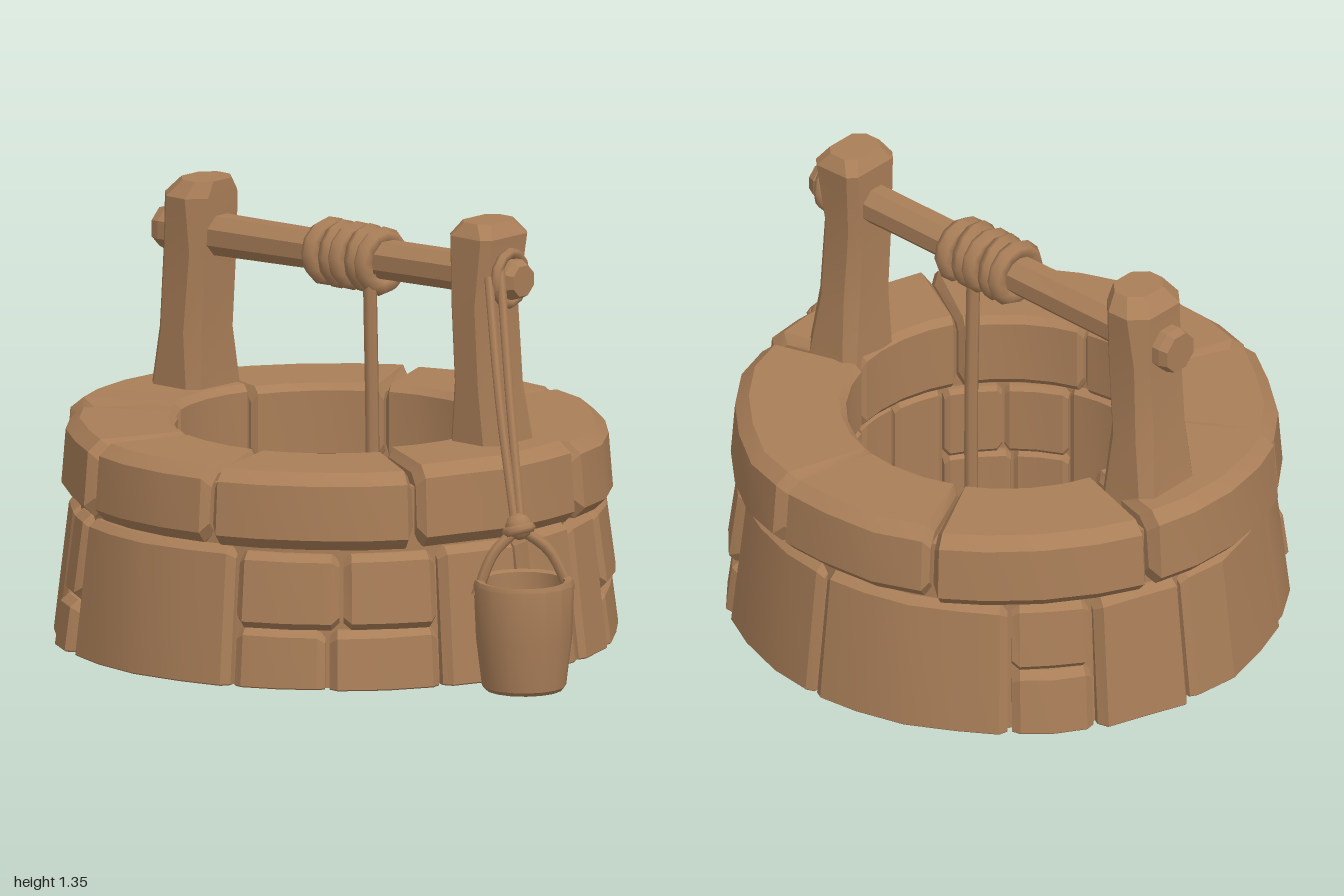
import * as THREE from 'three';
import { toCreasedNormals } from 'three/addons/utils/BufferGeometryUtils.js';

const V = (x, y, z) => new THREE.Vector3(x, y, z);
const CX = -0.135; // centre of the well ring

let seed = 7;
const jitter = (a) => {
  seed = (seed * 16807) % 2147483647;
  return (seed / 2147483647 * 2 - 1) * a;
};

// Skin a list of equal-length closed rings and cap both ends
function loft(rings, crease = 0.35) {
  const n = rings[0].length, pos = [], idx = [];
  rings.forEach((r) => r.forEach((p) => pos.push(p.x, p.y, p.z)));
  for (let k = 0; k < rings.length - 1; k++) {
    for (let i = 0; i < n; i++) {
      const a = k * n + i, b = k * n + (i + 1) % n;
      idx.push(a, b, b + n, a, b + n, a + n);
    }
  }
  const e = (rings.length - 1) * n;
  for (let i = 1; i < n - 1; i++) idx.push(0, i + 1, i, e, e + i, e + i + 1);
  const g = new THREE.BufferGeometry();
  g.setAttribute('position', new THREE.Float32BufferAttribute(pos, 3));
  g.setIndex(idx);
  return toCreasedNormals(g, crease);
}

// Chamfered stone following the ring from angle a0 to a1 (degrees)
function stone(a0, a1, y0, y1, rIn, rBottom, rTop, bevel) {
  const gap = 0.45, edge = 1.7, tilt = jitter(0.008), grow = jitter(0.01);
  const angles = [a0 + gap, a0 + gap + edge];
  const inner = Math.max(1, Math.round((a1 - a0) / 12));
  for (let i = 1; i < inner; i++) angles.push(a0 + (a1 - a0) * i / inner);
  angles.push(a1 - gap - edge, a1 - gap);
  const rings = angles.map((deg, k) => {
    const end = k === 0 || k === angles.length - 1;
    const s = end ? bevel * 0.8 : 0;
    const lo = y0 === 0 ? 0 : y0 + s;
    const hi = y1 - s + tilt * (k / angles.length - 0.5);
    const b = bevel, c = y0 === 0 ? 0.004 : b;
    const wob = end ? 0 : grow + jitter(0.008);
    const ri = rIn + s * 0.6, ob = rBottom - s + wob, ot = rTop - s + wob;
    const t = deg * Math.PI / 180;
    return [
      [ri + b * 0.5, lo], [ob - c, lo], [ob, lo + c], [ot, hi - b],
      [ot - b * 1.2, hi], [ri + b * 0.6, hi], [ri, hi - b * 0.6], [ri, lo + c * 0.6],
    ].map(([r, y]) => V(CX + Math.cos(t) * r, y, Math.sin(t) * r));
  });
  return loft(rings);
}

// Chamfered timber: sections are [y, xMin, xMax, zMin, zMax, chamfer]
function timber(sections) {
  return loft(sections.map(([y, x0, x1, z0, z1, c]) => [
    [x0 + c, z1], [x1 - c, z1], [x1, z1 - c], [x1, z0 + c],
    [x1 - c, z0], [x0 + c, z0], [x0, z0 + c], [x0, z1 - c],
  ].map(([x, z]) => V(x, y, z))), 0.2);
}

const rope = (points, r, segs = 8) =>
  new THREE.TubeGeometry(new THREE.CatmullRomCurve3(points), segs, r, 6, false);

export function createModel() {
  const model = new THREE.Group();
  const brown = new THREE.MeshStandardMaterial({ color: 0xa97e58 });
  brown.name = 'weathered brown';
  const add = (name, geo, parent = model) => {
    const m = new THREE.Mesh(geo, brown);
    m.name = name;
    parent.add(m);
    return m;
  };

  // Mortar core behind the stones, with the flat underside
  const core = [[0.53, 0], [0.82, 0], [0.785, 0.4], [0.785, 0.61], [0.53, 0.61], [0.53, 0]]
    .map(([r, y]) => new THREE.Vector2(r, y));
  add('mortarCore', toCreasedNormals(new THREE.LatheGeometry(core, 36), 0.4)).position.x = CX;

  // Wall stones: [start angle, end angle, bottom, top]
  const wall = new THREE.Group();
  wall.name = 'wallStones';
  model.add(wall);
  [
    [70, 116, 0, 0.42], [47, 70, 0.18, 0.41], [50, 70, 0, 0.18], [26, 50, 0, 0.18],
    [26, 47, 0.18, 0.41], [6, 26, 0, 0.42], [-12, 6, 0, 0.2], [-12, 6, 0.2, 0.43],
    [-27, -12, 0, 0.42], [-52, -27, 0, 0.17], [-52, -27, 0.17, 0.42], [-88, -52, 0, 0.42],
    [-132, -88, 0, 0.42], [-150, -132, 0, 0.2], [-150, -132, 0.2, 0.42], [-172, -150, 0, 0.42],
    [152, 188, 0, 0.42], [127, 152, 0, 0.42], [116, 127, 0, 0.16], [116, 127, 0.16, 0.42],
  ].forEach(([a0, a1, y0, y1]) => {
    const r = (y) => 0.862 - 0.11 * y;
    add('wallStone', stone(a0, a1, y0, y1, 0.5, r(y0), r(y1), 0.022), wall);
  });

  // Rim stones between the seams
  const rim = new THREE.Group();
  rim.name = 'rimStones';
  model.add(rim);
  const seams = [-115, -75.5, -14, 31, 76, 112, 152, 197, 245];
  for (let i = 0; i < seams.length - 1; i++) {
    const top = i === 2 || i === 6 ? 0.675 : 0.66;
    add('rimStone', stone(seams[i], seams[i + 1], 0.425, top, 0.49, 0.838, 0.825, 0.035), rim);
  }

  // Posts
  add('leftPost', timber([
    [0.6, 0.355, 0.555, -0.17, 0.06, 0.03], [0.85, 0.37, 0.53, -0.14, 0.06, 0.035],
    [1.1, 0.365, 0.515, -0.13, 0.065, 0.03], [1.31, 0.36, 0.53, -0.15, 0.06, 0.025],
    [1.352, 0.385, 0.5, -0.125, 0.035, 0.03],
  ]));
  add('rightPost', timber([
    [0.6, -0.87, -0.66, -0.19, 0.06, 0.03], [0.85, -0.835, -0.665, -0.16, 0.06, 0.04],
    [1.1, -0.815, -0.645, -0.15, 0.06, 0.035], [1.27, -0.81, -0.635, -0.16, 0.075, 0.05],
    [1.32, -0.765, -0.635, -0.12, 0.04, 0.04],
  ]));

  // Windlass beam: [x, height, radius]
  add('windlassBeam', loft([
    [-0.87, 1.145, 0.064], [-0.84, 1.145, 0.072], [-0.62, 1.15, 0.066], [-0.2, 1.162, 0.062],
    [0.3, 1.178, 0.062], [0.565, 1.183, 0.064], [0.592, 1.183, 0.05],
  ].map(([x, y, r]) => Array.from({ length: 8 }, (_, i) => {
    const t = (i + 0.5) * Math.PI / 4;
    return V(x, y + Math.cos(t) * r, -0.04 + Math.sin(t) * r);
  })), 0.2));

  // Rope wound on the beam
  const coil = new THREE.Group();
  coil.name = 'ropeCoil';
  model.add(coil);
  for (let i = 0; i < 5; i++) {
    const turn = add('ropeTurn', new THREE.TorusGeometry(0.077, 0.03, 6, 12), coil);
    turn.position.set(-0.2 + i * 0.053, 1.162 + jitter(0.004), -0.04);
    turn.rotation.set(0, Math.PI / 2 + (i % 2 ? 0.12 : -0.1), i * 0.5);
  }
  add('hangingRope', rope([V(0.01, 1.13, 0.01), V(0.012, 0.6, 0), V(0.01, 0.03, 0)], 0.022));

  // Rope loop on the beam end and the twin strands down to the bucket
  const loop = add('endLoop', new THREE.TorusGeometry(0.078, 0.017, 6, 12));
  loop.position.set(0.54, 1.185, -0.035);
  loop.rotation.y = Math.PI / 2 + 0.15;
  add('bucketRopeFront', rope([V(0.53, 1.2, 0.05), V(0.67, 0.84, 0.155), V(0.795, 0.5, 0.225)], 0.014));
  add('bucketRopeBack', rope([V(0.545, 1.24, 0.015), V(0.69, 0.84, 0.13), V(0.81, 0.5, 0.215)], 0.014));
  const knot = add('knot', new THREE.IcosahedronGeometry(0.042, 1));
  knot.position.set(0.805, 0.495, 0.22);
  const knotWrap = add('knotWrap', new THREE.TorusGeometry(0.036, 0.017, 6, 10));
  knotWrap.position.set(0.805, 0.485, 0.22);
  knotWrap.rotation.set(Math.PI / 2, 0.3, 0);
  [[0.735, 0.335], [0.915, 0.105]].forEach(([x, z]) => {
    add('bucketHandle', rope([
      V(0.805, 0.49, 0.22), V(0.805 + (x - 0.805) * 0.55, 0.42, 0.22 + (z - 0.22) * 0.6), V(x, 0.29, z),
    ], 0.017));
  });

  // Open bucket
  const bucket = [
    [0, 0], [0.118, 0], [0.128, 0.012], [0.146, 0.16], [0.153, 0.325], [0.148, 0.34],
    [0.125, 0.335], [0.12, 0.16], [0.105, 0.05], [0, 0.05],
  ].map(([r, y]) => new THREE.Vector2(r, y));
  add('bucket', toCreasedNormals(new THREE.LatheGeometry(bucket, 16), 0.5)).position.set(0.84, 0, 0.235);

  return model;
}
